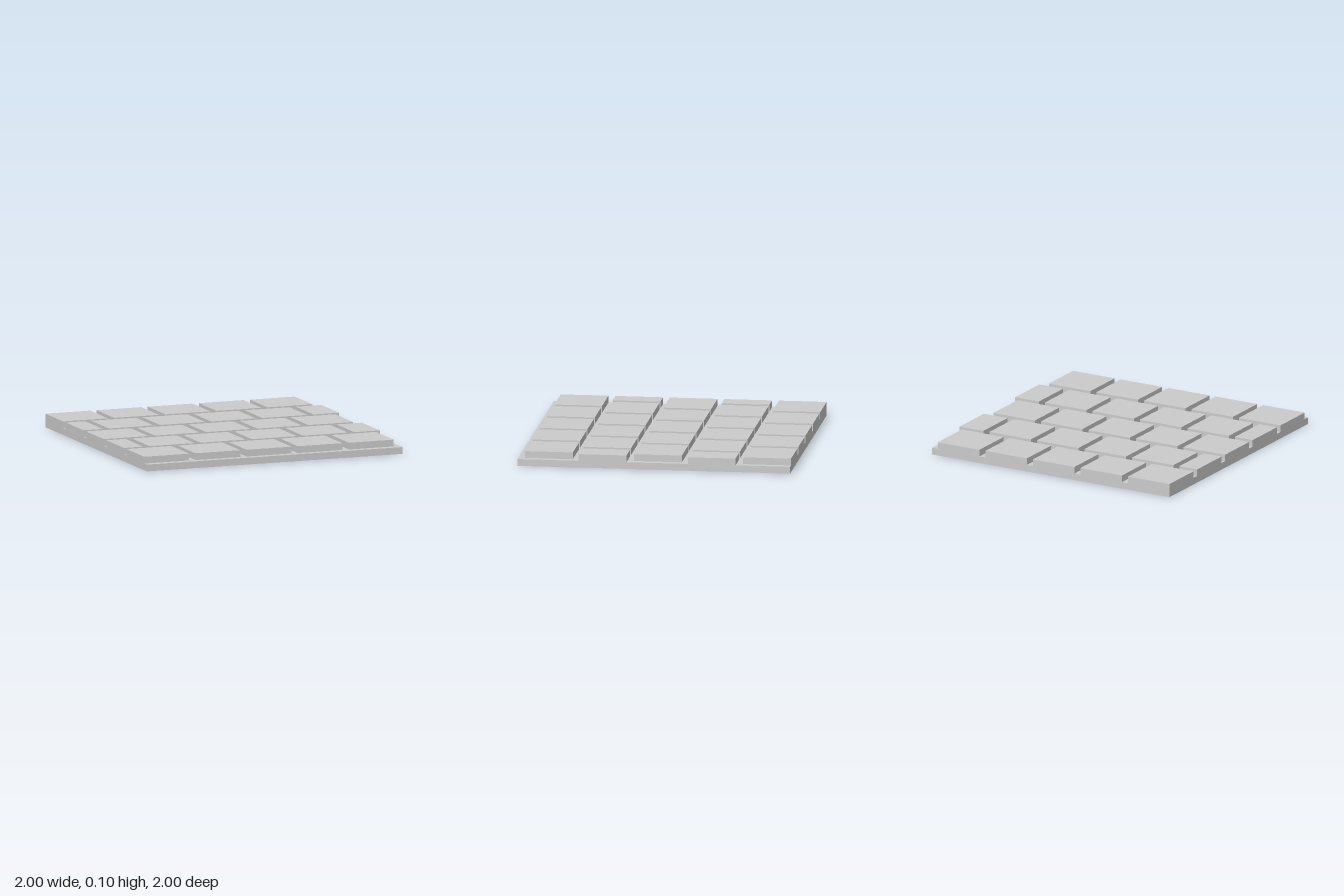
import * as THREE from 'three';

const PITCH = 0.4;   // tile plus joint
const TILE = 0.35;
const BASE_H = 0.05;
const TILE_H = 0.05;

export function createModel() {
  const model = new THREE.Group();
  model.name = 'pavedFloor';
  const material = new THREE.MeshStandardMaterial({ color: 0xcccccc, flatShading: true });

  // Box given by its low corner and size
  function addBox(name, parent, x, y, z, w, h, d) {
    const mesh = new THREE.Mesh(new THREE.BoxGeometry(w, h, d), material);
    mesh.name = name;
    mesh.position.set(x + w / 2, y + h / 2, z + d / 2);
    parent.add(mesh);
  }

  // Mortar bed
  addBox('baseSlab', model, -1, 0, -1, 2, BASE_H, 2);

  // Five rows of paving; every second row is shifted half a pitch and cut at the edges
  for (let row = 0; row < 5; row++) {
    const rowGroup = new THREE.Group();
    rowGroup.name = `tileRow${row + 1}`;
    model.add(rowGroup);
    const start = row % 2 ? -1 - PITCH / 2 : -1;
    for (let x = start, n = 1; x < 0.99; x += PITCH, n++) {
      const left = Math.max(x, -1);
      const right = Math.min(x + TILE, 1);
      addBox(`tile${n}`, rowGroup, left, BASE_H, -1 + row * PITCH, right - left, TILE_H, TILE);
    }
  }
  return model;
}
